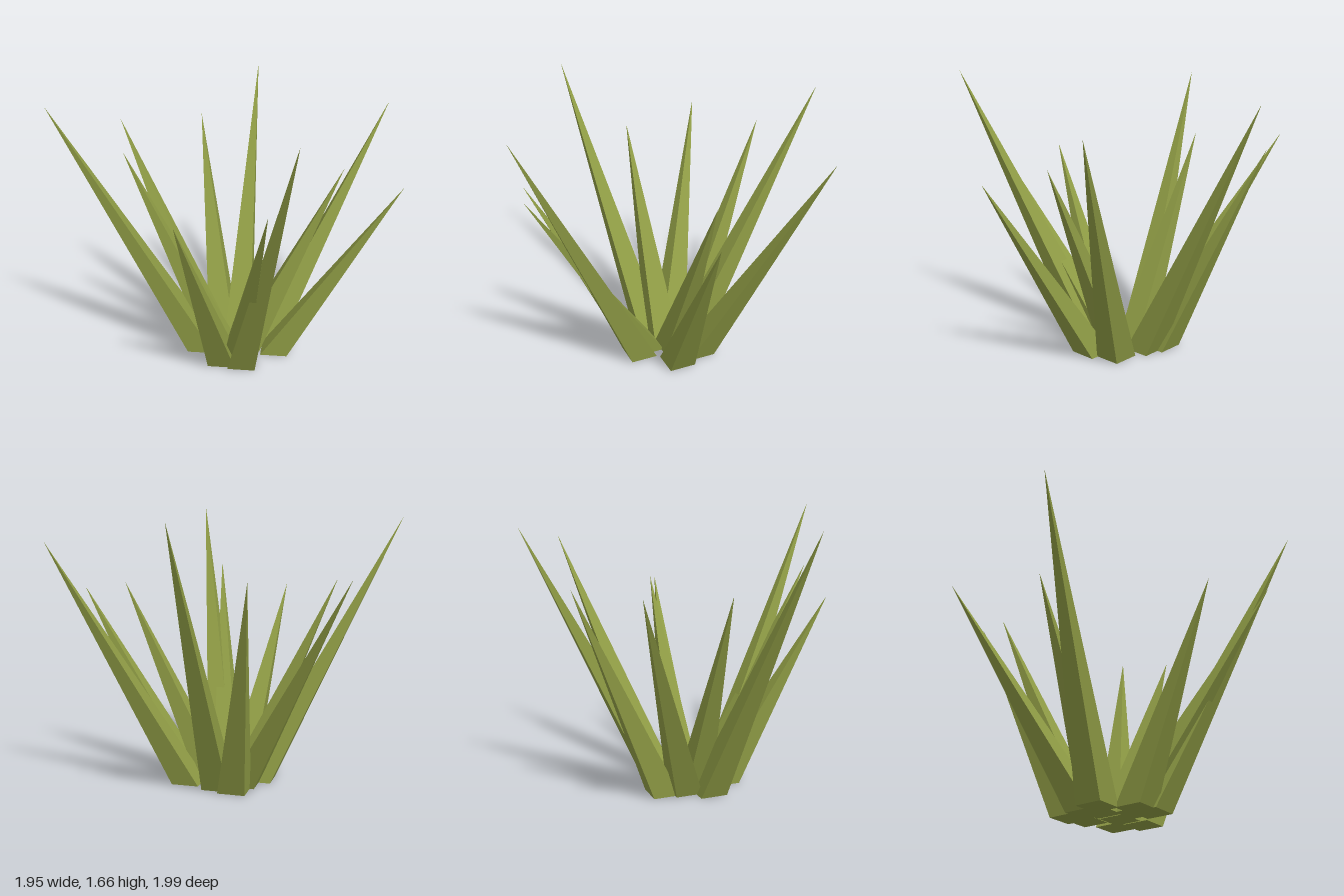
import * as THREE from 'three';

// base centre x, z, then tip x, y, z of each blade
const BLADES = [
  [-0.24, -0.135, -0.98, 1.60, -0.53],
  [-0.10, -0.175, -0.24, 1.29, -1.00],
  [0.01, -0.25, 0.27, 1.28, -0.81],
  [0.06, -0.15, 0.66, 1.58, -0.69],
  [0.165, 0.03, 0.97, 1.46, 0.21],
  [0.09, 0.175, 0.53, 1.15, 0.75],
  [-0.005, 0.025, 0.40, 1.20, 0.41],
  [-0.165, 0.175, -0.48, 1.66, 0.99],
  [-0.15, 0.09, -0.52, 1.27, 0.82],
  [-0.125, -0.10, -0.52, 1.25, -0.51],
  [-0.24, 0.075, -0.78, 1.14, 0.39],
];
const BASE_RADIUS = 0.116;

// Four-sided spike standing on y = 0, sheared so its tip leans outward
function makeBlade([bx, bz, tx, ty, tz], material) {
  const geometry = new THREE.ConeGeometry(BASE_RADIUS, ty, 4, 1);
  geometry.translate(0, ty / 2, 0);
  const lean = new THREE.Matrix4().set(
    1, (tx - bx) / ty, 0, bx,
    0, 1, 0, 0,
    0, (tz - bz) / ty, 1, bz,
    0, 0, 0, 1,
  );
  geometry.applyMatrix4(lean);
  return new THREE.Mesh(geometry, material);
}

export function createModel() {
  const group = new THREE.Group();
  group.name = 'grassTuft';
  const leafGreen = new THREE.MeshStandardMaterial({ color: 0x8f9c45, flatShading: true });
  leafGreen.name = 'leafGreen';
  BLADES.forEach((spec, i) => {
    const blade = makeBlade(spec, leafGreen);
    blade.name = `blade${i + 1}`;
    group.add(blade);
  });
  return group;
}
